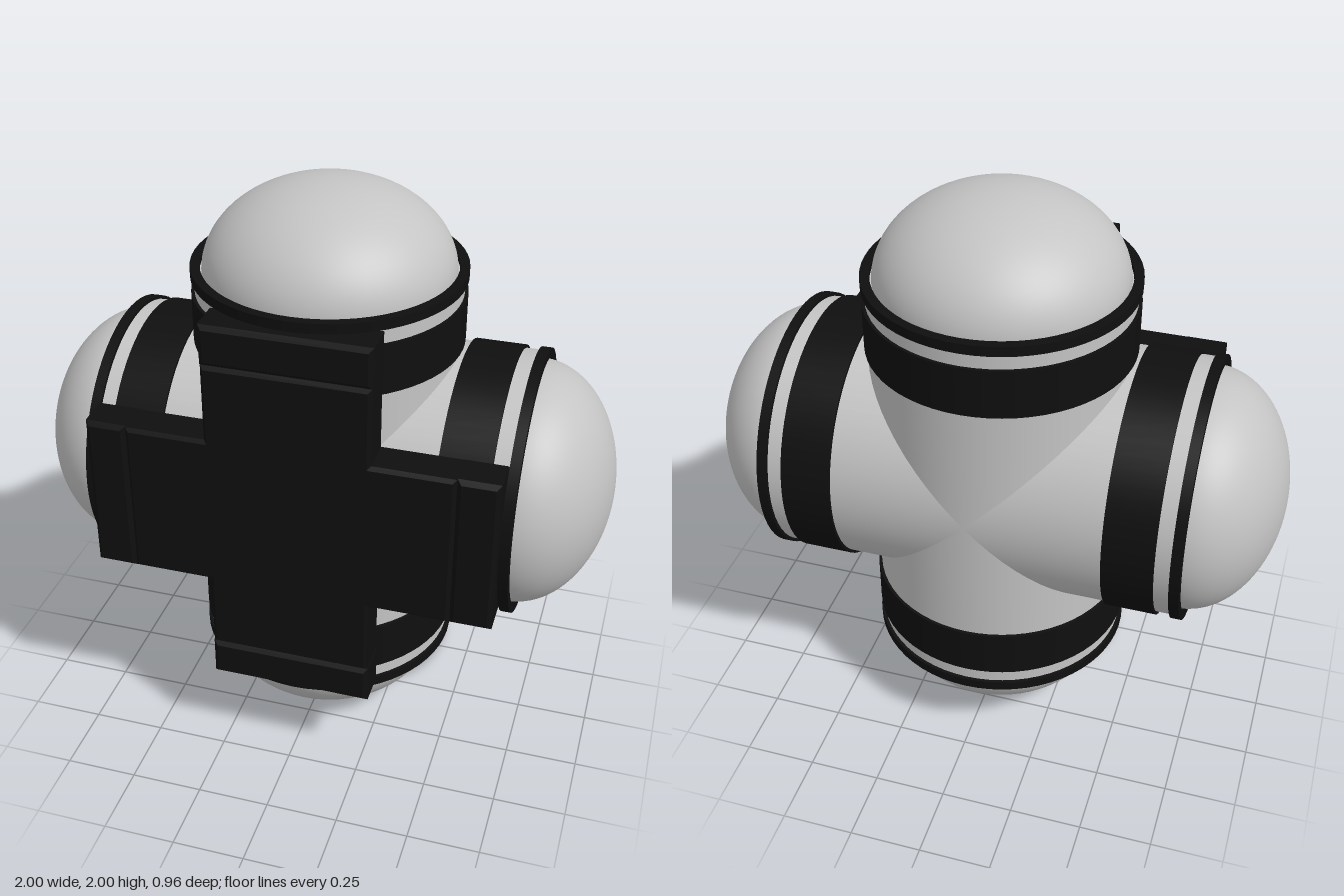
import * as THREE from 'three';

const mat = (name, color, side = THREE.FrontSide) => {
  const m = new THREE.MeshStandardMaterial({ color, side });
  m.name = name;
  return m;
};

// Slab with a small chamfer, spanning the given z range
function slab(points, z0, z1, bevel) {
  const shape = new THREE.Shape(points.map(([x, y]) => new THREE.Vector2(x, y)));
  const geo = new THREE.ExtrudeGeometry(shape, {
    depth: z1 - z0 - 2 * bevel, bevelEnabled: true, bevelSegments: 1,
    bevelSize: bevel, bevelThickness: bevel, bevelOffset: -bevel,
  });
  return geo.translate(0, 0, z0 + bevel);
}

// Square-edged hoop around the y axis
function hoop(inner, outer, y0, y1) {
  const corners = [[inner, y0], [outer, y0], [outer, y1], [inner, y1], [inner, y0]];
  const pts = [];
  for (let i = 0; i < 4; i++) pts.push(corners[i], corners[i + 1]);
  // each side is its own lathe strip, so the edges stay sharp
  const group = [];
  for (let i = 0; i < 8; i += 2) {
    group.push(new THREE.LatheGeometry([pts[i], pts[i + 1]].map(p => new THREE.Vector2(...p)), 64));
  }
  return group;
}

export function createModel() {
  const model = new THREE.Group();
  model.name = 'crossCapsule';
  const grey = mat('lightGrey', 0xc4c4c4);
  const black = mat('black', 0x0f0f0f);

  const add = (parent, name, geo, material) => {
    const mesh = new THREE.Mesh(geo, material);
    mesh.name = name;
    parent.add(mesh);
    return mesh;
  };

  // Two crossing tubes
  const body = new THREE.Group();
  body.name = 'body';
  body.position.set(0, 1, -0.02);
  model.add(body);
  const tube = new THREE.CylinderGeometry(0.445, 0.445, 1.41, 64);
  add(body, 'uprightTube', tube, grey);
  add(body, 'crossTube', tube, grey).rotation.z = Math.PI / 2;

  // Four ends: dome, end ring and wide band
  const dome = new THREE.SphereGeometry(0.42, 64, 24, 0, Math.PI * 2, 0, Math.PI / 2)
    .scale(1, 0.3 / 0.42, 1).translate(0, 0.7, 0);
  const ring = hoop(0.425, 0.457, 0.69, 0.725);
  const band = hoop(0.44, 0.456, 0.465, 0.638);
  ['top', 'left', 'bottom', 'right'].forEach((side, i) => {
    const end = new THREE.Group();
    end.name = side + 'End';
    end.rotation.z = -i * Math.PI / 2;
    body.add(end);
    add(end, 'dome', dome, grey);
    ring.forEach(g => add(end, 'endRing', g, black));
    band.forEach(g => add(end, 'band', g, black));
  });

  // Cross-shaped front plate with a separate block at the tip of each arm
  const plate = new THREE.Group();
  plate.name = 'frontPlate';
  plate.position.y = 1;
  model.add(plate);
  const w = 0.277, seam = 0.55, tip = 0.69;
  const cross = [[w, w], [w, seam], [-w, seam], [-w, w], [-seam, w], [-seam, -w],
    [-w, -w], [-w, -seam], [w, -seam], [w, -w], [seam, -w], [seam, w]].reverse();
  add(plate, 'plateCross', slab(cross, 0.335, 0.478, 0.012), black);
  const v = w + 0.003;
  const block = slab([[-v, seam], [v, seam], [v, tip], [-v, tip]], 0.335, 0.478, 0.015);
  for (let i = 0; i < 4; i++) {
    add(plate, 'plateTip', block, black).rotation.z = i * Math.PI / 2;
  }
  return model;
}
